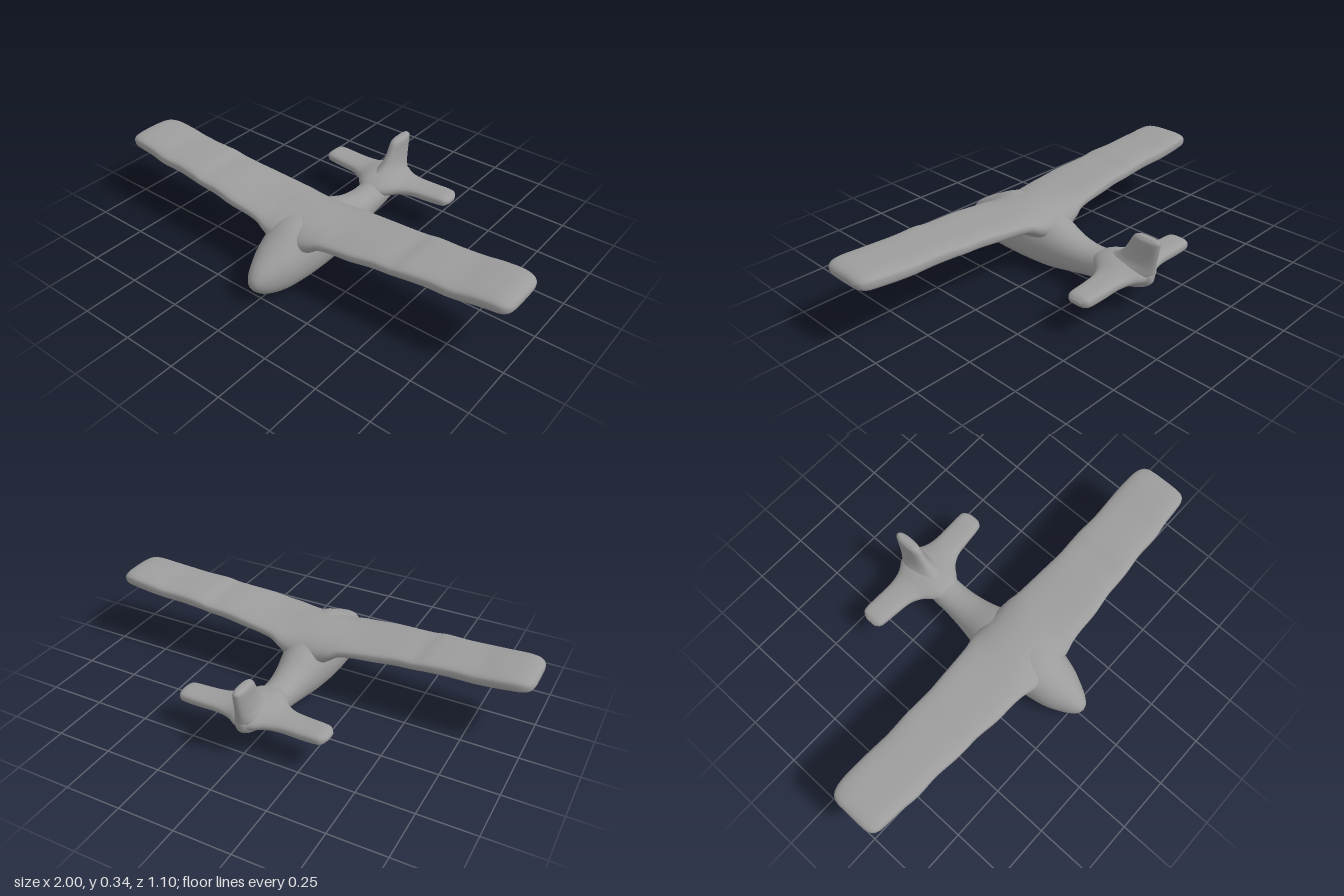
import * as THREE from 'three';

const material = new THREE.MeshStandardMaterial({ color: 0x9c9c9c });

// Catmull-Rom blend of the section rows so the surface flows smoothly.
function refine(rows, steps) {
  const out = [];
  const at = (i) => rows[Math.min(Math.max(i, 0), rows.length - 1)];
  for (let i = 0; i < rows.length - 1; i++) {
    for (let s = 0; s < steps; s++) {
      const t = s / steps;
      const [a, b, c, d] = [at(i - 1), at(i), at(i + 1), at(i + 2)];
      out.push(b.map((v, k) => 0.5 * (2 * v + (c[k] - a[k]) * t
        + (2 * a[k] - 5 * v + 4 * c[k] - d[k]) * t * t
        + (3 * v - a[k] - 3 * c[k] + d[k]) * t * t * t)));
    }
  }
  out.push(at(rows.length - 1));
  return out;
}

// Loft of superellipse rings. Each row: position on axis, min/max on the next
// two axes (cyclic x-y-z order), then the power (2 = ellipse, more = boxier).
// Rows run in the axis' positive direction.
function loft(name, axis, rows, sides = 40, steps = 4) {
  const sections = refine(rows, steps);
  const positions = [];
  const index = [];
  const put = (p, u, v) => {
    const point = [0, 0, 0];
    point[axis] = p;
    point[(axis + 1) % 3] = u;
    point[(axis + 2) % 3] = v;
    positions.push(...point);
  };
  for (const [p, u0, u1, v0, v1, power] of sections) {
    const round = (v) => Math.sign(v) * Math.abs(v) ** (2 / power);
    for (let j = 0; j < sides; j++) {
      const a = (j / sides) * Math.PI * 2;
      put(p, (u0 + u1) / 2 + (u1 - u0) / 2 * round(Math.cos(a)),
        (v0 + v1) / 2 + (v1 - v0) / 2 * round(Math.sin(a)));
    }
  }
  for (let i = 0; i < sections.length - 1; i++) {
    for (let j = 0; j < sides; j++) {
      const a = i * sides + j, b = i * sides + (j + 1) % sides;
      index.push(a, b, a + sides, b, b + sides, a + sides);
    }
  }
  // End caps
  const last = (sections.length - 1) * sides;
  for (const [base, s] of [[0, sections[0]], [last, sections[sections.length - 1]]]) {
    const centre = positions.length / 3;
    put(s[0], (s[1] + s[2]) / 2, (s[3] + s[4]) / 2);
    for (let j = 0; j < sides; j++) {
      const a = base + j, b = base + (j + 1) % sides;
      if (base === 0) index.push(centre, b, a);
      else index.push(centre, a, b);
    }
  }
  const geometry = new THREE.BufferGeometry();
  geometry.setAttribute('position', new THREE.Float32BufferAttribute(positions, 3));
  geometry.setIndex(index);
  geometry.computeVertexNormals();
  const mesh = new THREE.Mesh(geometry, material);
  mesh.name = name;
  return mesh;
}

// Mirror half-span rows to the other side, with a slight shift there.
function fullSpan(half, dy, dz) {
  const other = half.filter((r) => r[0] > 0).reverse().map(([x, y0, y1, z0, z1, n]) =>
    [-x, y0 + dy * x, y1 + dy * x, z0 + dz * x, z1 + dz * x, n]);
  return [...other, ...half];
}

export function createModel() {
  const model = new THREE.Group();
  model.name = 'airplane';

  // Fuselage, from tail to nose
  const fuselage = [
    // z, half width, bottom, top
    [-0.525, 0.012, 0.135, 0.17],
    [-0.51, 0.03, 0.115, 0.19],
    [-0.47, 0.045, 0.092, 0.2],
    [-0.4, 0.062, 0.075, 0.2],
    [-0.3, 0.07, 0.058, 0.187],
    [-0.2, 0.072, 0.04, 0.178],
    [-0.1, 0.084, 0.02, 0.195],
    [0, 0.105, 0.003, 0.235],
    [0.1, 0.126, 0.001, 0.266],
    [0.2, 0.132, 0.001, 0.275],
    [0.3, 0.127, 0.001, 0.27],
    [0.4, 0.105, 0.005, 0.224],
    [0.46, 0.08, 0.015, 0.192],
    [0.51, 0.053, 0.037, 0.16],
    [0.54, 0.028, 0.066, 0.128],
    [0.549, 0.008, 0.088, 0.106],
  ].map(([z, w, y0, y1]) => [z, -w, w, y0, y1, 2.1]);
  model.add(loft('fuselage', 2, fuselage));

  // Wing, gently stepped along its dihedral, its root faired into the fuselage
  const wing = [
    // x, bottom, top, rear edge, front edge, power
    [0, 0.1, 0.281, -0.01, 0.35, 2.2],
    [0.07, 0.125, 0.281, -0.008, 0.352, 2.2],
    [0.12, 0.165, 0.279, -0.002, 0.345, 2.3],
    [0.16, 0.198, 0.279, 0.01, 0.336, 2.6],
    [0.22, 0.216, 0.281, 0.017, 0.33, 3],
    [0.32, 0.225, 0.291, 0.024, 0.327, 3.3],
    [0.42, 0.235, 0.301, 0.031, 0.314, 3.4],
    [0.5, 0.243, 0.304, 0.029, 0.312, 3.4],
    [0.56, 0.248, 0.315, 0.029, 0.309, 3.4],
    [0.66, 0.252, 0.321, 0.033, 0.298, 3.4],
    [0.76, 0.257, 0.325, 0.028, 0.299, 3.4],
    [0.84, 0.264, 0.336, 0.026, 0.289, 3.4],
    [0.92, 0.273, 0.343, 0.028, 0.284, 3.4],
    [0.965, 0.276, 0.341, 0.037, 0.278, 3.3],
    [0.99, 0.285, 0.332, 0.055, 0.261, 3],
    [1, 0.3, 0.318, 0.085, 0.23, 2.8],
  ];
  model.add(loft('wing', 0, fullSpan(wing, -0.01, 0.012)));

  // Tailplane, its thin flared root faired into the tail
  const tailplane = [
    // x, bottom, top, rear edge, front edge, power
    [0, 0.1, 0.205, -0.52, -0.23, 2],
    [0.04, 0.103, 0.203, -0.51, -0.24, 2],
    [0.075, 0.11, 0.194, -0.488, -0.272, 2.05],
    [0.11, 0.117, 0.184, -0.475, -0.312, 2.2],
    [0.16, 0.122, 0.178, -0.468, -0.339, 2.6],
    [0.23, 0.123, 0.176, -0.469, -0.35, 2.9],
    [0.3, 0.125, 0.177, -0.47, -0.357, 2.9],
    [0.328, 0.129, 0.173, -0.463, -0.364, 2.8],
    [0.345, 0.143, 0.158, -0.435, -0.385, 2.6],
  ];
  model.add(loft('tailplane', 0, fullSpan(tailplane, 0, 0.015)));

  // Swept fin, widening where it meets the tail
  const fin = [
    // y, rear edge, front edge, half thickness, power
    [0.13, -0.512, -0.25, 0.07, 2],
    [0.17, -0.525, -0.255, 0.066, 2],
    [0.19, -0.529, -0.295, 0.055, 2],
    [0.21, -0.533, -0.335, 0.042, 2.1],
    [0.235, -0.538, -0.368, 0.034, 2.2],
    [0.27, -0.544, -0.394, 0.028, 2.4],
    [0.305, -0.549, -0.412, 0.026, 2.4],
    [0.322, -0.549, -0.424, 0.022, 2.4],
    [0.333, -0.535, -0.445, 0.01, 2.4],
  ].map(([y, z0, z1, w, n]) => [y, z0, z1, -w, w, n]);
  model.add(loft('fin', 1, fin));

  return model;
}
